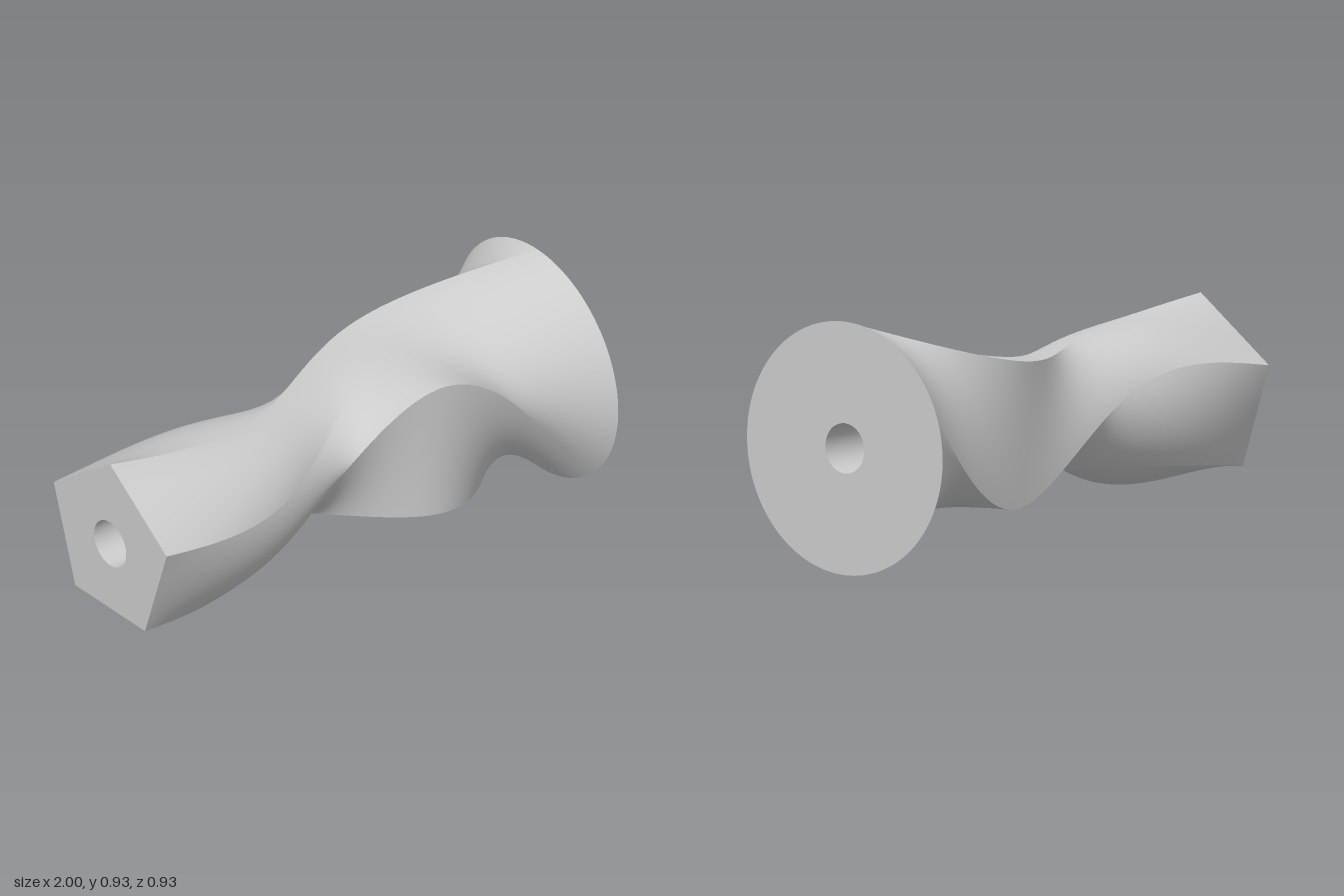
import * as THREE from 'three';

const AXIS_Y = 0.466;
const BORE_R = 0.0925;
const PENTAGON_R = 0.342;
const NECK_R = 0.26;
const SQUARE_HALF = 0.27;
const RIM_R = 0.466;
const ANGLES = [90, 18, -54, -126, -198]; // shared seam directions, +z towards +y
const SQUARE = [[-1, 1], [0, 1], [1, 1], [1, -1], [-1, -1]]; // square's seam points, top edge split

const polar = (r, deg) => {
  const a = THREE.MathUtils.degToRad(deg);
  return new THREE.Vector2(r * Math.cos(a), r * Math.sin(a));
};

// The four sections (pentagon, circle, square, circle) at fraction t of side k, as (z, y)
function sectionPoints(k, t) {
  const n = (k + 1) % 5;
  const deg = ANGLES[k] - 72 * t;
  return [
    polar(PENTAGON_R, ANGLES[k]).lerp(polar(PENTAGON_R, ANGLES[n]), t),
    polar(NECK_R, deg),
    new THREE.Vector2(...SQUARE[k]).lerp(new THREE.Vector2(...SQUARE[n]), t).multiplyScalar(SQUARE_HALF),
    polar(RIM_R, deg),
  ];
}

// Natural cubic spline through four evenly spaced values, u from 0 to 3
function spline(p, u) {
  const d1 = 6 * (p[0] - 2 * p[1] + p[2]);
  const d2 = 6 * (p[1] - 2 * p[2] + p[3]);
  const m = [0, (4 * d1 - d2) / 15, (4 * d2 - d1) / 15, 0];
  const i = Math.min(2, Math.floor(u));
  const t = u - i, s = 1 - t;
  return s * p[i] + t * p[i + 1] + (m[i] * (s ** 3 - s) + m[i + 1] * (t ** 3 - t)) / 6;
}

// One lofted side between two seams
function sideGeometry(k, across = 24, along = 90) {
  const pos = [], index = [];
  for (let i = 0; i <= along; i++) {
    const u = (3 * i) / along;
    for (let j = 0; j <= across; j++) {
      const pts = sectionPoints(k, j / across);
      pos.push(-1 + (2 * u) / 3, AXIS_Y + spline(pts.map(p => p.y), u), spline(pts.map(p => p.x), u));
      if (i < along && j < across) {
        const a = i * (across + 1) + j, c = a + across + 1;
        index.push(a, a + 1, c, a + 1, c + 1, c);
      }
    }
  }
  const g = new THREE.BufferGeometry();
  g.setAttribute('position', new THREE.Float32BufferAttribute(pos, 3));
  g.setIndex(index);
  g.computeVertexNormals();
  return g;
}

// Flat end with the bore opening; dir is +1 or -1 along x
function endGeometry(radius, sides, dir) {
  const pts = [];
  for (let i = 0; i < sides; i++) pts.push(polar(radius, 90 + (360 * i) / sides));
  const shape = new THREE.Shape(pts);
  shape.holes.push(new THREE.Path().absarc(0, 0, BORE_R, 0, Math.PI * 2, true));
  return new THREE.ShapeGeometry(shape, 24).rotateY((dir * Math.PI) / 2).translate(dir, AXIS_Y, 0);
}

export function createModel() {
  const group = new THREE.Group();
  group.name = 'loftedSleeve';
  const material = new THREE.MeshStandardMaterial({ color: 0xcccccc });
  const inner = new THREE.MeshStandardMaterial({ color: 0xcccccc, side: THREE.BackSide });
  const add = (name, geometry, mat = material, parent = group) => {
    const mesh = new THREE.Mesh(geometry, mat);
    mesh.name = name;
    parent.add(mesh);
  };

  // Outer skin: five sides with creases at the seams
  const skin = new THREE.Group();
  skin.name = 'outerSkin';
  group.add(skin);
  for (let k = 0; k < 5; k++) add(`side${k + 1}`, sideGeometry(k), material, skin);

  // Ends and through bore
  add('pentagonEnd', endGeometry(PENTAGON_R, 5, -1));
  add('roundEnd', endGeometry(RIM_R, 120, 1));
  add('bore', new THREE.CylinderGeometry(BORE_R, BORE_R, 2, 48, 1, true)
    .rotateZ(Math.PI / 2).translate(0, AXIS_Y, 0), inner);
  return group;
}
